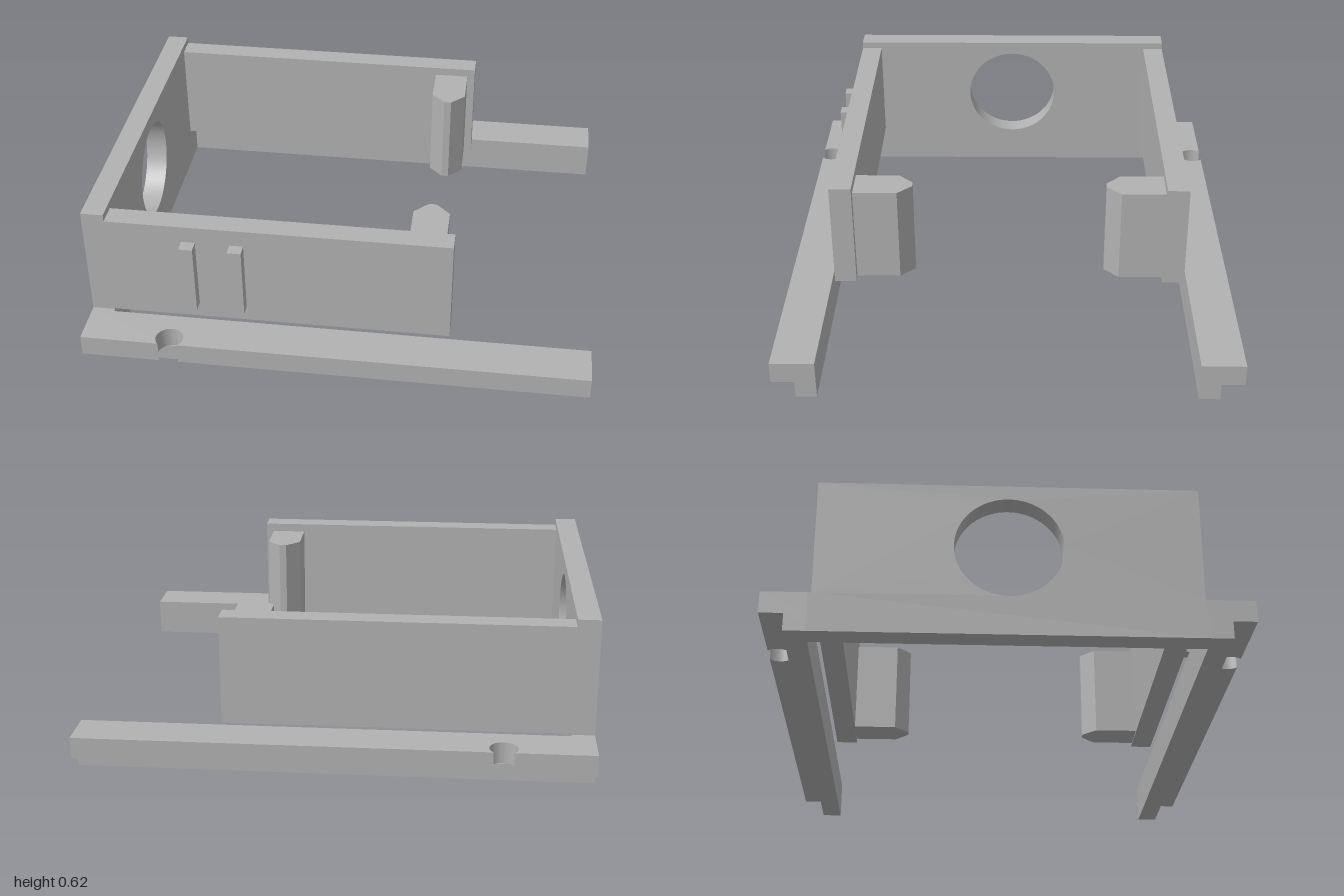
import * as THREE from 'three';
import { toCreasedNormals } from 'three/addons/utils/BufferGeometryUtils.js';

const grey = new THREE.MeshStandardMaterial({ color: 0xb2b2b2 });
grey.name = 'plain grey';

function add(parent, name, geometry) {
  const mesh = new THREE.Mesh(geometry, grey);
  mesh.name = name;
  parent.add(mesh);
}

// Box given by its extents along each axis
function box(x0, x1, y0, y1, z0, z1) {
  return new THREE.BoxGeometry(x1 - x0, y1 - y0, z1 - z0)
    .translate((x0 + x1) / 2, (y0 + y1) / 2, (z0 + z1) / 2);
}

// Upright prism from a plan outline of [x, z] points
function prism(points, y0, y1) {
  const shape = new THREE.Shape(points.map(([x, z]) => new THREE.Vector2(x, z)));
  const geometry = new THREE.ExtrudeGeometry(shape, { depth: y1 - y0, bevelEnabled: false });
  return toCreasedNormals(geometry.rotateX(Math.PI / 2).translate(0, y1, 0), 0.5);
}

// Outline of the rail flange, with a round notch cut into its outer edge
function flangeOutline(s) {
  const cx = -0.65, cz = 0.863, r = 0.055, outer = 0.902;
  const open = Math.asin((outer - cz) / r);
  const points = [[-1, 0.73], [1, 0.73], [1, outer]];
  const steps = 32;
  for (let i = 0; i <= steps; i++) {
    const a = open - (i / steps) * (Math.PI + 2 * open);
    points.push([cx + r * Math.cos(a), cz + r * Math.sin(a)]);
  }
  points.push([-1, outer]);
  return points.map(([x, z]) => [x, z * s]);
}

export function createModel() {
  const model = new THREE.Group();
  model.name = 'slidingBracket';

  // End plate, wider at the foot where it meets the rails, with a round opening
  const plate = new THREE.Shape([
    [-0.73, 0], [0.73, 0], [0.73, 0.156], [0.717, 0.156],
    [0.717, 0.624], [-0.717, 0.624], [-0.717, 0.156], [-0.73, 0.156],
  ].map(([z, y]) => new THREE.Vector2(z, y)));
  plate.holes.push(new THREE.Path().absarc(0, 0.362, 0.205, 0, Math.PI * 2, true));
  const plateGeometry = new THREE.ExtrudeGeometry(plate, { depth: 0.09, bevelEnabled: false, curveSegments: 48 })
    .rotateY(Math.PI / 2).translate(-1, 0, 0);
  add(model, 'endPlate', toCreasedNormals(plateGeometry, 0.5));

  for (const s of [1, -1]) {
    const side = new THREE.Group();
    side.name = s > 0 ? 'frontSide' : 'backSide';
    model.add(side);

    // Stepped rail
    const zs = [0.73 * s, 0.812 * s].sort((a, b) => a - b);
    add(side, 'railFoot', box(-1, 1, 0, 0.07, ...zs));
    add(side, 'railFlange', prism(flangeOutline(s), 0.07, 0.156));

    // Side wall, raised just above the rail
    const zw = [0.628 * s, 0.717 * s].sort((a, b) => a - b);
    add(side, 'sideWall', box(-0.91, 0.445, 0.16, 0.595, ...zw));

    // Inward peg with a tapered tip
    const peg = [[0.268, 0.628], [0.268, 0.45], [0.325, 0.392], [0.355, 0.392], [0.412, 0.45], [0.412, 0.628]];
    add(side, 'peg', prism(peg.map(([x, z]) => [x, z * s]), 0.165, 0.56));
  }

  // Two upright ribs on the outside of the front wall
  for (const x of [-0.61, -0.42]) {
    add(model, 'rib', box(x, x + 0.055, 0.228, 0.525, 0.717, 0.766));
  }
  return model;
}
